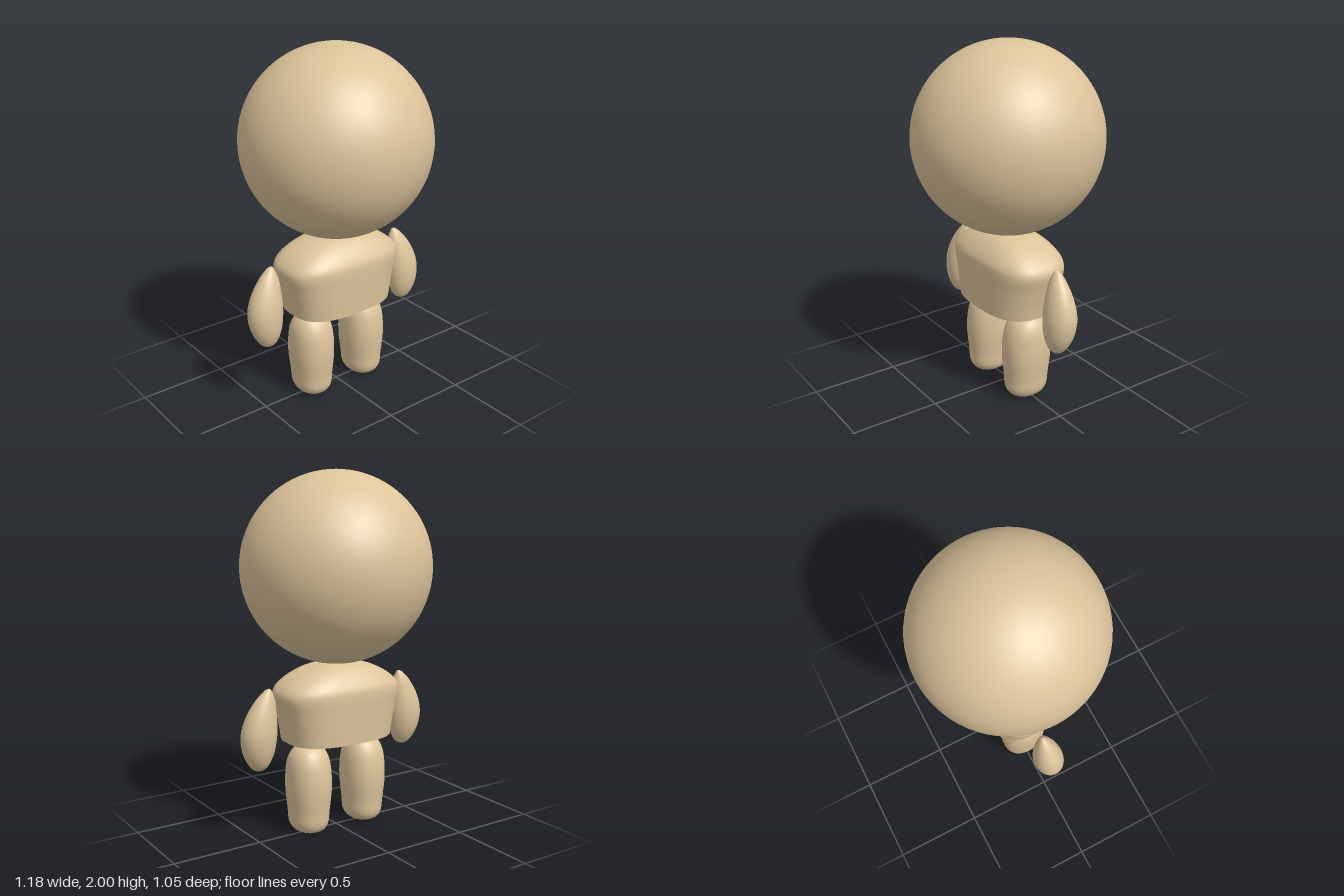
import * as THREE from 'three';

const SEG = 48;
const tan = new THREE.MeshStandardMaterial({ color: 0xdcc49a });
tan.name = 'tan';

// Point on a superellipse outline; power 2 is an ellipse, higher is boxier
function outline(angle, hx, hz, power) {
  const c = Math.cos(angle), s = Math.sin(angle), e = 2 / power;
  return [hx * Math.sign(c) * Math.abs(c) ** e, hz * Math.sign(s) * Math.abs(s) ** e];
}

// Smooth closed-round loft through sections [y, centreX, centreZ, halfX, halfZ], bottom to top
function loft(name, sections, power = 2, steps = 48) {
  const centres = new THREE.CatmullRomCurve3(sections.map(([y, x, z]) => new THREE.Vector3(x, y, z)), false, 'centripetal');
  const sizes = new THREE.CatmullRomCurve3(sections.map(([y, , , hx, hz]) => new THREE.Vector3(hx, y, hz)), false, 'centripetal');
  const pos = [], index = [];
  for (let j = 0; j <= steps; j++) {
    const c = centres.getPoint(j / steps), h = sizes.getPoint(j / steps);
    for (let i = 0; i < SEG; i++) {
      const [x, z] = outline((i / SEG) * Math.PI * 2, Math.max(h.x, 0.0005), Math.max(h.z, 0.0005), power);
      pos.push(c.x + x, h.y, c.z + z);
      if (j === steps) continue;
      const a = j * SEG + i, b = j * SEG + (i + 1) % SEG;
      index.push(a, a + SEG, b, b, a + SEG, b + SEG);
    }
  }
  const geo = new THREE.BufferGeometry();
  geo.setAttribute('position', new THREE.Float32BufferAttribute(pos, 3));
  geo.setIndex(index);
  geo.computeVertexNormals();
  const mesh = new THREE.Mesh(geo, tan);
  mesh.name = name;
  return mesh;
}

export function createModel() {
  const model = new THREE.Group();
  model.name = 'figure';

  // Round head
  const head = new THREE.Mesh(new THREE.SphereGeometry(0.525, 64, 48), tan);
  head.name = 'head';
  head.position.y = 1.475;
  model.add(head);

  // Torso: boxy section, widest at the shoulders
  model.add(loft('torso', [
    [0.53, 0, 0, 0.313, 0.213], [0.60, 0, 0, 0.325, 0.216], [0.70, 0, 0, 0.347, 0.219],
    [0.79, 0, 0, 0.368, 0.221], [0.825, 0, 0, 0.358, 0.217], [0.87, 0, 0, 0.314, 0.193],
    [0.92, 0, 0, 0.225, 0.145], [0.95, 0, 0, 0.13, 0.09], [0.965, 0, 0, 0, 0],
  ], 2.8));

  // Flat underside of the torso
  const rim = Array.from({ length: SEG }, (_, i) =>
    new THREE.Vector2(...outline((i / SEG) * Math.PI * 2, 0.313, 0.213, 2.8)));
  const base = new THREE.Mesh(new THREE.ShapeGeometry(new THREE.Shape(rim)), tan);
  base.name = 'torsoBase';
  base.rotation.x = Math.PI / 2;
  base.position.y = 0.53;
  model.add(base);

  for (const [side, s] of [['left', 1], ['right', -1]]) {
    // Teardrop arm, leaning outward
    model.add(loft(side + 'Arm', [
      [0.40, s * 0.485, 0.02, 0, 0], [0.407, s * 0.485, 0.02, 0.026, 0.022],
      [0.43, s * 0.485, 0.019, 0.052, 0.046], [0.50, s * 0.489, 0.014, 0.086, 0.076],
      [0.60, s * 0.489, 0.008, 0.101, 0.087], [0.70, s * 0.477, 0.003, 0.088, 0.073],
      [0.79, s * 0.455, -0.003, 0.056, 0.045], [0.835, s * 0.442, -0.007, 0.027, 0.023],
      [0.85, s * 0.436, -0.008, 0.013, 0.011], [0.855, s * 0.434, -0.008, 0, 0],
    ]));

    // Stubby leg with rounded foot
    model.add(loft(side + 'Leg', [
      [0.004, s * 0.183, 0.005, 0, 0], [0.008, s * 0.183, 0.005, 0.045, 0.055],
      [0.025, s * 0.183, 0.005, 0.083, 0.1], [0.06, s * 0.183, 0.005, 0.102, 0.121],
      [0.13, s * 0.183, 0.004, 0.109, 0.128], [0.25, s * 0.183, 0.003, 0.121, 0.139],
      [0.34, s * 0.183, 0.003, 0.121, 0.136], [0.42, s * 0.183, 0.003, 0.113, 0.119],
      [0.47, s * 0.182, 0.003, 0.092, 0.093], [0.498, s * 0.182, 0.003, 0.06, 0.058],
      [0.508, s * 0.182, 0.003, 0.03, 0.03], [0.511, s * 0.182, 0.003, 0, 0],
    ], 2.2));
  }
  return model;
}
